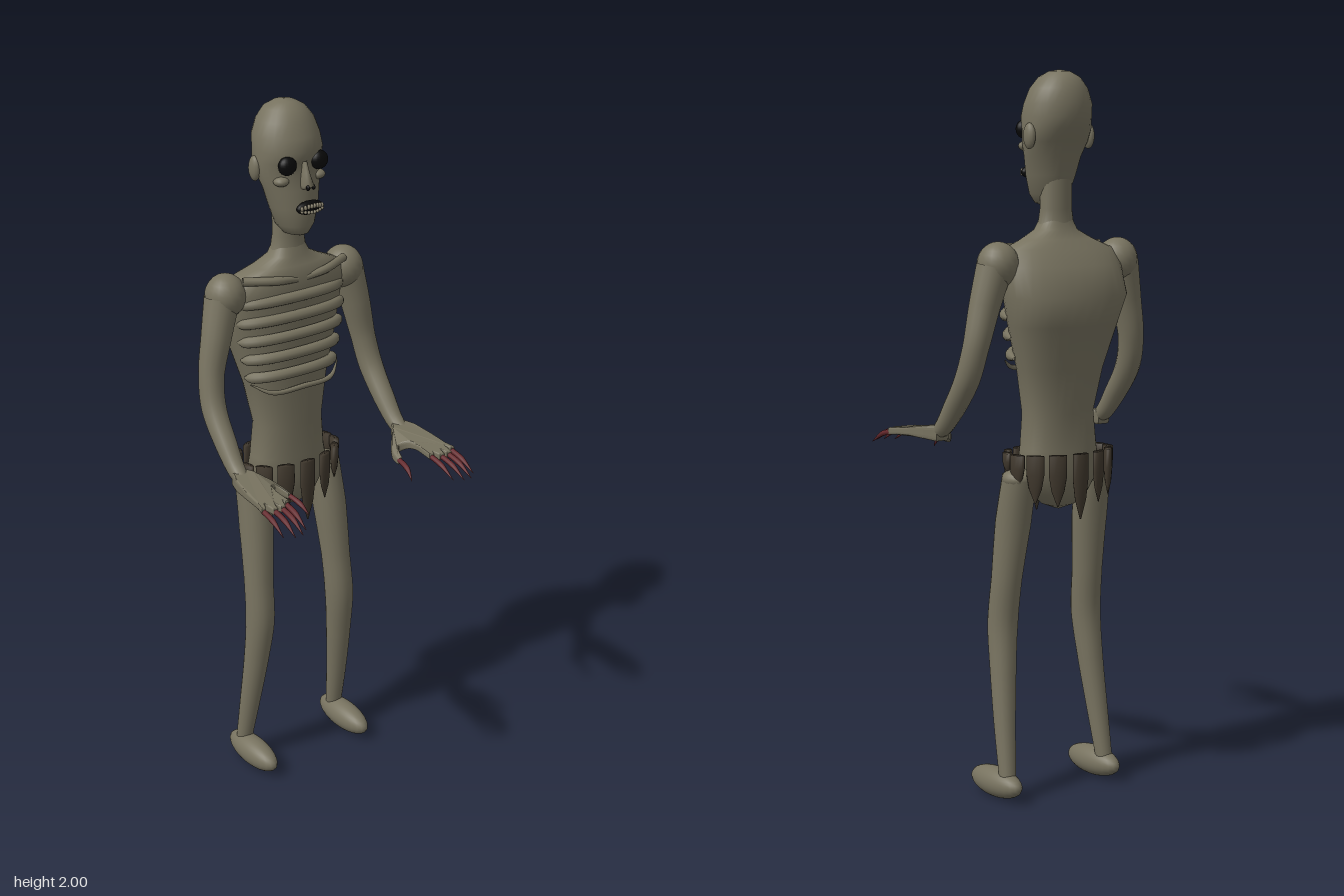
import * as THREE from 'three';

const mat = (name, color) => {
  const m = new THREE.MeshStandardMaterial({ color });
  m.name = name;
  return m;
};

// Stacked rings from bottom to top; each row is [y, backX, frontX, halfZ]
function loft(rows, n = 28, power = 1) {
  const pos = [], idx = [];
  const bend = v => Math.sign(v) * Math.abs(v) ** power;
  rows.forEach(([y, back, front, hz], k) => {
    for (let j = 0; j < n; j++) {
      const a = (j / n) * Math.PI * 2;
      pos.push((back + front) / 2 + ((front - back) / 2) * bend(Math.cos(a)), y, hz * bend(Math.sin(a)));
      if (k < rows.length - 1) {
        const p = k * n + j, q = k * n + ((j + 1) % n);
        idx.push(p, p + n, q, q, p + n, q + n);
      }
    }
  });
  const g = new THREE.BufferGeometry();
  g.setAttribute('position', new THREE.Float32BufferAttribute(pos, 3));
  g.setIndex(idx);
  g.computeVertexNormals();
  return g;
}

// Tube whose radius changes from point to point; each point is [x, y, z, radius]
function limb(points, segments = 24, sides = 16) {
  const curve = new THREE.CatmullRomCurve3(points.map(p => new THREE.Vector3(p[0], p[1], p[2])));
  const g = new THREE.TubeGeometry(curve, segments, 1, sides);
  const pos = g.attributes.position, v = new THREE.Vector3();
  for (let i = 0; i <= segments; i++) {
    const c = curve.getPointAt(i / segments);
    const t = curve.getUtoTmapping(i / segments) * (points.length - 1);
    const k = Math.min(Math.floor(t), points.length - 2);
    const r = THREE.MathUtils.lerp(points[k][3], points[k + 1][3], t - k);
    for (let j = 0; j <= sides; j++) {
      const id = i * (sides + 1) + j;
      v.fromBufferAttribute(pos, id).sub(c).multiplyScalar(r).add(c);
      pos.setXYZ(id, v.x, v.y, v.z);
    }
  }
  return g;
}

const ball = (x, y, z, rx, ry, rz, n = 20) =>
  new THREE.SphereGeometry(1, n, Math.ceil(n * 0.7)).scale(rx, ry, rz).translate(x, y, z);

// Flat hand with a hooked thumb, drawn from above and then bent downward
function handGeometry(s) {
  const P = (x, z) => new THREE.Vector2(x, z * s);
  const shape = new THREE.Shape();
  shape.moveTo(0, 0.26 * s);
  shape.splineThru([P(0.03, 0.24), P(0.06, 0.212), P(0.09, 0.194), P(0.118, 0.189)]);
  shape.lineTo(0.118, 0.195 * s);
  shape.splineThru([P(0.092, 0.205), P(0.082, 0.218), P(0.1, 0.24), P(0.135, 0.249)]);
  [[0.185, 0.247], [0.187, 0.255], [0.178, 0.26], [0.202, 0.27], [0.203, 0.279], [0.18, 0.287],
    [0.202, 0.295], [0.203, 0.304], [0.168, 0.311], [0.186, 0.322], [0.186, 0.328], [0.16, 0.322],
    [0.1, 0.319], [0.04, 0.31], [0, 0.294]].forEach(([x, z]) => shape.lineTo(x, z * s));
  const g = new THREE.ExtrudeGeometry(shape, {
    depth: 0.008, bevelThickness: 0.006, bevelSize: 0.004, bevelSegments: 3, curveSegments: 8,
  }).rotateX(Math.PI / 2);
  const pos = g.attributes.position;
  for (let i = 0; i < pos.count; i++) {
    const x = pos.getX(i), z = Math.abs(pos.getZ(i));
    const thumb = Math.max(0, 0.245 - z) * 0.55;
    const thick = 1 + 1.2 * Math.max(0, 1 - x / 0.12);
    pos.setY(i, (pos.getY(i) + 0.004) * thick + 1.024 - Math.max(0, x - 0.06) * 0.1 - thumb);
  }
  g.computeVertexNormals();
  return g;
}

export function createModel() {
  const model = new THREE.Group();
  model.name = 'ghoul';
  const skin = mat('greySkin', 0x77725f);
  const claw = mat('darkRedClaw', 0x64282c);
  const hide = mat('darkHide', 0x40382d);
  const black = mat('black', 0x080808);
  const tooth = mat('toothGrey', 0x87806c);
  skin.side = hide.side = THREE.DoubleSide;
  const add = (name, geometry, material = skin) => {
    const m = new THREE.Mesh(geometry, material);
    m.name = name;
    model.add(m);
    return m;
  };

  // Torso, neck and skull
  add('torso', loft([
    [0.81, -0.165, -0.145, 0.005], [0.825, -0.2, -0.115, 0.045], [0.86, -0.225, -0.09, 0.085],
    [0.92, -0.238, -0.08, 0.125], [0.98, -0.23, -0.088, 0.115], [1.08, -0.225, -0.088, 0.106],
    [1.2, -0.243, -0.09, 0.13], [1.32, -0.275, -0.085, 0.165], [1.4, -0.3, -0.082, 0.185],
    [1.48, -0.258, -0.078, 0.188], [1.525, -0.228, -0.078, 0.17], [1.55, -0.205, -0.092, 0.11],
    [1.575, -0.19, -0.1, 0.062], [1.6, -0.183, -0.108, 0.048]], 32, 0.85));
  add('neck', loft([[1.54, -0.2, -0.095, 0.075], [1.58, -0.186, -0.106, 0.055],
    [1.63, -0.182, -0.11, 0.047], [1.74, -0.182, -0.11, 0.047]]));
  add('head', loft([
    [1.638, -0.13, -0.085, 0.01], [1.645, -0.15, -0.07, 0.034], [1.67, -0.17, -0.06, 0.054],
    [1.72, -0.185, -0.058, 0.07], [1.77, -0.195, -0.066, 0.083], [1.81, -0.212, -0.07, 0.097],
    [1.845, -0.23, -0.068, 0.1], [1.875, -0.238, -0.055, 0.098], [1.91, -0.24, -0.068, 0.096],
    [1.95, -0.232, -0.082, 0.081], [1.98, -0.215, -0.105, 0.058], [1.995, -0.19, -0.13, 0.03],
    [2.0, -0.162, -0.158, 0.002]]));
  add('nose', loft([[1.775, -0.08, -0.05, 0.012], [1.787, -0.08, -0.033, 0.016],
    [1.82, -0.08, -0.05, 0.01], [1.85, -0.08, -0.06, 0.006]], 12));

  // Mouth with two rows of teeth
  add('mouth', ball(-0.046, 1.727, 0, 0.017, 0.019, 0.043), black);
  for (let i = 0; i < 8; i++) {
    const z = (i - 3.5) * 0.0095, x = -0.029 - z * z * 5;
    add('upperTooth', ball(x, 1.735 - z * z * 4, z, 0.005, 0.007, 0.0045, 8), tooth);
    add('lowerTooth', ball(x, 1.718 + z * z * 4, z, 0.005, 0.005, 0.0045, 8), tooth);
  }

  // Ribs wrapped round the front of the chest
  [[1.47, 0.168], [1.415, 0.172], [1.36, 0.166], [1.305, 0.156], [1.25, 0.145]].forEach(([y, hz]) => {
    const pts = [];
    for (let i = -6; i <= 6; i++) {
      const a = i * 0.24, c = Math.abs(Math.cos(a)) ** 0.8;
      pts.push([-0.175 + 0.1 * c, y - 0.022 * (1 - c), hz * Math.sign(i) * Math.abs(Math.sin(a)) ** 0.85,
        Math.abs(i) === 6 ? 0.004 : 0.016]);
    }
    add('rib', limb(pts, 36, 10));
  });
  add('lowestRib', limb([[-0.12, 1.225, -0.15, 0.002], [-0.085, 1.2, -0.1, 0.007], [-0.075, 1.2, 0, 0.008],
    [-0.085, 1.2, 0.1, 0.007], [-0.12, 1.225, 0.15, 0.002]], 24, 8));

  // Ragged hide strips round the hips
  const lengths = [0.185, 0.14, 0.1, 0.055, 0.09, 0.13, 0.14, 0.18];
  for (let i = 0; i < 14; i++) {
    const a = (i / 14) * Math.PI * 2, len = lengths[Math.min(i, 14 - i)];
    const strip = loft([[-len, -0.001, 0.001, 0.002], [-len * 0.7, -0.009, 0.009, 0.018],
      [-len * 0.4, -0.012, 0.012, 0.025], [0, -0.012, 0.012, 0.025], [0, -0.001, 0.001, 0.001]], 12);
    strip.rotateY(-a).translate(-0.16 + 0.102 * Math.cos(a), 0.975, 0.158 * Math.sin(a));
    add('skirtStrip', strip, hide);
  }

  for (const s of [1, -1]) {
    const side = s > 0 ? 'left' : 'right';
    const name = part => side + part;

    // Face details
    add(name('EyeSocket'), ball(-0.074, 1.843, 0.052 * s, 0.02, 0.026, 0.027), black);
    add(name('Nostril'), ball(-0.041, 1.783, 0.009 * s, 0.007, 0.008, 0.005, 10), black);
    add(name('Ear'), ball(-0.16, 1.825, 0.098 * s, 0.022, 0.035, 0.014, 14));
    add(name('Cheekbone'), ball(-0.092, 1.798, 0.06 * s, 0.022, 0.014, 0.022, 14));

    // Collarbone, shoulder and bent arm
    add(name('Collarbone'), limb([[-0.085, 1.515, 0.015 * s, 0.009], [-0.082, 1.525, 0.08 * s, 0.012],
      [-0.12, 1.53, 0.17 * s, 0.012]], 12, 10));
    add(name('Shoulder'), ball(-0.16, 1.487, 0.2 * s, 0.058, 0.062, 0.057));
    add(name('Arm'), limb([[-0.16, 1.48, 0.212 * s, 0.05], [-0.152, 1.38, 0.238 * s, 0.043],
      [-0.145, 1.27, 0.262 * s, 0.036], [-0.12, 1.185, 0.272 * s, 0.035], [-0.06, 1.1, 0.275 * s, 0.031],
      [0, 1.035, 0.277 * s, 0.024], [0.045, 1.018, 0.279 * s, 0.012]], 32));

    // Hand and claws
    add(name('Hand'), handGeometry(s));
    [[0.18, 0.251], [0.2, 0.275], [0.2, 0.3], [0.18, 0.325]].forEach(([x, z]) =>
      add(name('Claw'), limb([[x - 0.001, 1.009, z * s, 0.001], [x, 1.009, z * s, 0.0075],
        [x + 0.05, 0.998, (z + 0.001) * s, 0.0075], [x + 0.1, 0.97, (z + 0.003) * s, 0.0008]], 14, 10), claw));
    add(name('ThumbClaw'), limb([[0.112, 0.99, 0.191 * s, 0.001], [0.114, 0.99, 0.191 * s, 0.007],
      [0.16, 0.98, 0.186 * s, 0.0075], [0.192, 0.955, 0.178 * s, 0.0008]], 14, 10), claw);

    // Leg and foot
    add(name('Hip'), ball(-0.155, 0.905, 0.127 * s, 0.047, 0.03, 0.05));
    add(name('Leg'), limb([[-0.155, 0.91, 0.127 * s, 0.048], [-0.13, 0.78, 0.131 * s, 0.05],
      [-0.11, 0.62, 0.139 * s, 0.043], [-0.098, 0.49, 0.144 * s, 0.043], [-0.11, 0.36, 0.151 * s, 0.037],
      [-0.13, 0.22, 0.16 * s, 0.031], [-0.155, 0.07, 0.168 * s, 0.024]], 32));
    add(name('Foot'), ball(-0.105, 0.046, 0.17 * s, 0.11, 0.042, 0.041, 24)
      .translate(0.105, -0.046, 0).rotateZ(-0.03).translate(-0.105, 0.046, 0));
  }
  return model;
}
